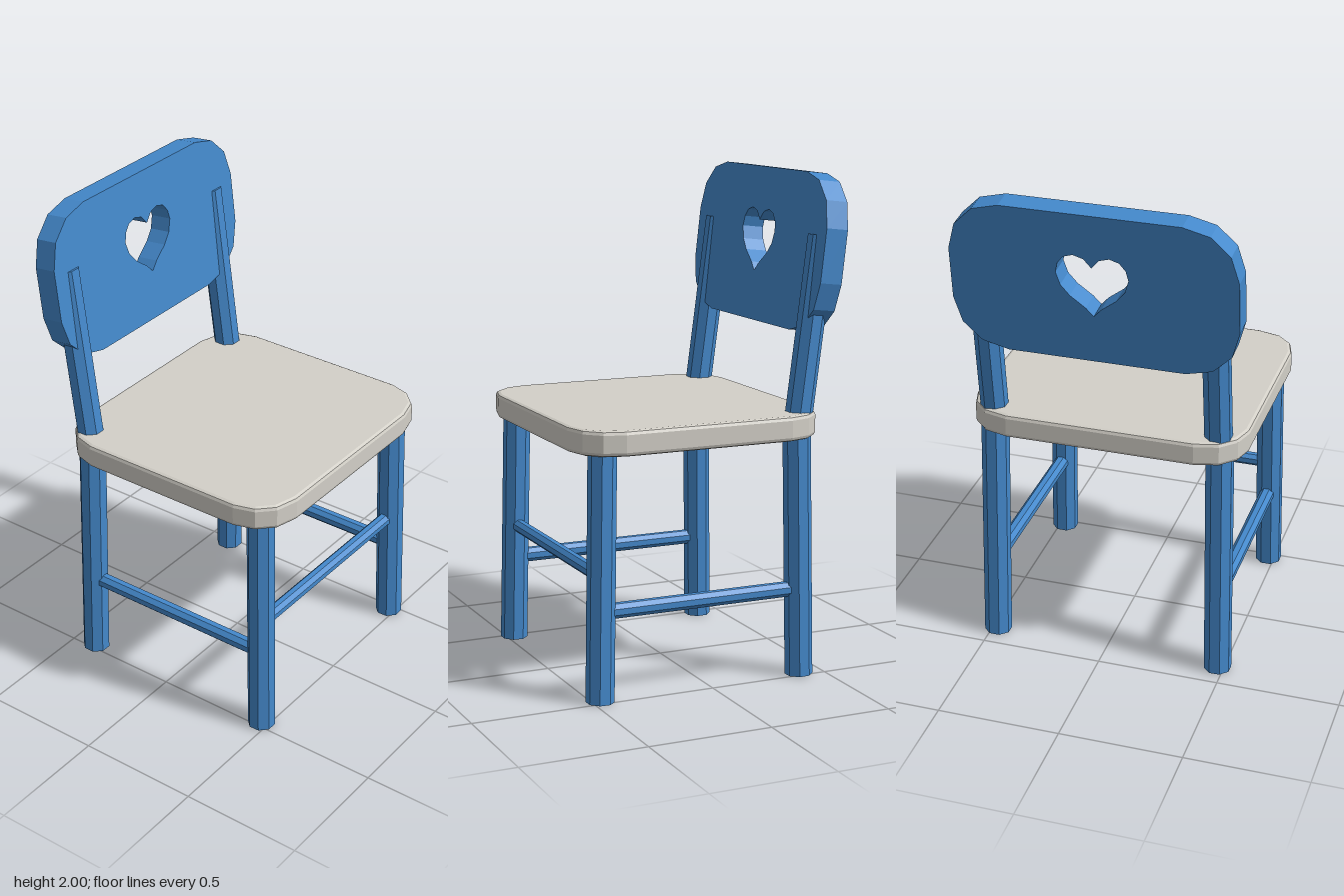
import * as THREE from 'three';

const blue = new THREE.MeshStandardMaterial({ color: 0x4489cc, flatShading: true });
const cream = new THREE.MeshStandardMaterial({ color: 0xd3d0c8, flatShading: true });

// Closed outline through a list of [x, y] points
const outline = (points, Type = THREE.Shape) => new Type(points.map(([x, y]) => new THREE.Vector2(x, y)));

// Mirrors a right-hand half, listed bottom to top, across x = 0
const mirrored = half => [...half, ...half.filter(p => p[0] > 0).reverse().map(([x, y]) => [-x, y])];

// Eight-sided rod between two points, flat side facing forward
function rod(name, from, to, radius) {
  const a = new THREE.Vector3(...from), b = new THREE.Vector3(...to);
  const dir = b.clone().sub(a);
  const geometry = new THREE.CylinderGeometry(radius, radius, dir.length(), 8, 1, false, Math.PI / 8);
  const mesh = new THREE.Mesh(geometry, blue);
  mesh.name = name;
  mesh.position.copy(a).add(b).multiplyScalar(0.5);
  mesh.quaternion.setFromUnitVectors(new THREE.Vector3(0, 1, 0), dir.normalize());
  return mesh;
}

function createSeat() {
  // Plan outline, with shape y becoming z; softened rim
  const bevel = 0.016;
  const plan = mirrored([
    [0.38, -0.48], [0.475, -0.455], [0.535, -0.395], [0.56, -0.31],
    [0.56, 0.39], [0.535, 0.475], [0.475, 0.535], [0.38, 0.56]
  ]);
  const geometry = new THREE.ExtrudeGeometry(outline(plan), {
    depth: 0.1 - 2 * bevel, bevelThickness: bevel, bevelSize: bevel, bevelOffset: -bevel, bevelSegments: 2
  });
  geometry.rotateX(Math.PI / 2);
  const seat = new THREE.Mesh(geometry, cream);
  seat.name = 'seat';
  seat.position.y = 1.07 - bevel;
  return seat;
}

function createBackrest() {
  // Rounded board with a heart cut-out, leaning back
  const board = outline(mirrored([
    [0.35, -0.312], [0.455, -0.285], [0.53, -0.212], [0.56, -0.106],
    [0.56, 0.106], [0.53, 0.212], [0.455, 0.285], [0.35, 0.312]
  ]));
  board.holes.push(outline(mirrored([
    [0, -0.113], [0.03, -0.08], [0.09, -0.034], [0.125, 0.008], [0.141, 0.06],
    [0.132, 0.1], [0.108, 0.13], [0.07, 0.142], [0.03, 0.13], [0, 0.095]
  ]), THREE.Path));
  const depth = 0.093;
  const geometry = new THREE.ExtrudeGeometry(board, { depth, bevelEnabled: false });
  geometry.translate(0, 0, -depth / 2);
  const backrest = new THREE.Mesh(geometry, blue);
  backrest.name = 'backrest';
  backrest.position.set(0, 1.683, -0.481);
  backrest.rotation.x = -0.115;
  return backrest;
}

export function createModel() {
  const chair = new THREE.Group();
  chair.name = 'chair';
  chair.add(createSeat(), createBackrest());

  // Legs, back posts and side rails, once per side
  for (const [side, s] of [['left', 1], ['right', -1]]) {
    chair.add(
      rod(`${side}FrontLeg`, [s * 0.475, 0, 0.47], [s * 0.46, 1.02, 0.448], 0.056),
      rod(`${side}BackLeg`, [s * 0.475, 0, -0.395], [s * 0.46, 1.02, -0.38], 0.056),
      rod(`${side}BackPost`, [s * 0.457, 1.02, -0.386], [s * 0.455, 1.757, -0.484], 0.055),
      rod(`${side}Rail`, [s * 0.47, 0.355, 0.46], [s * 0.47, 0.355, -0.39], 0.031)
    );
  }
  chair.add(rod('frontRail', [-0.465, 0.495, 0.46], [0.465, 0.495, 0.46], 0.028));
  return chair;
}
